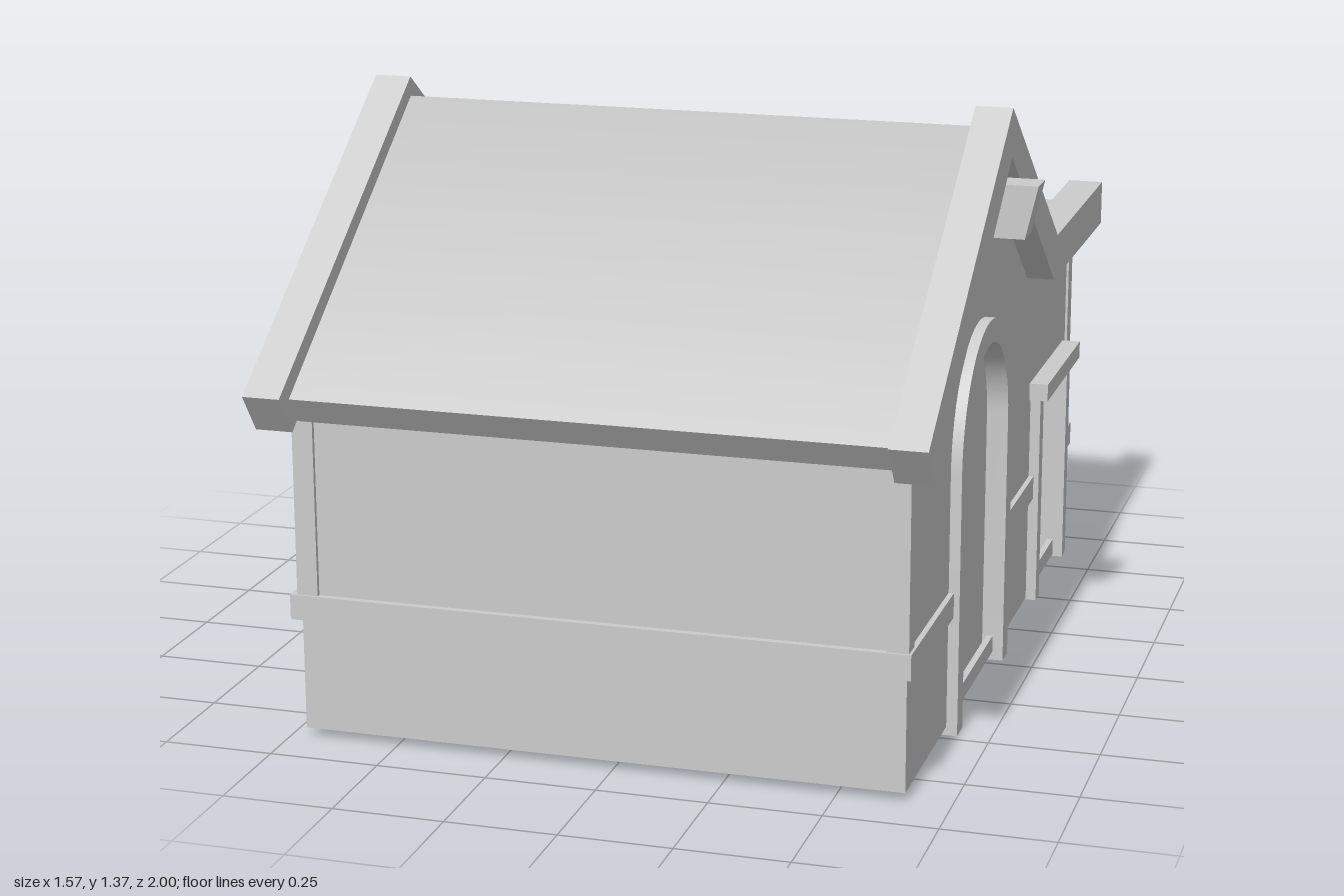
import * as THREE from 'three';
import { toCreasedNormals } from 'three/addons/utils/BufferGeometryUtils.js';

const material = new THREE.MeshStandardMaterial({ color: 0xcccccc, side: THREE.DoubleSide });

export function createModel() {
  const house = new THREE.Group();

  const add = (name, geometry) => {
    const mesh = new THREE.Mesh(geometry, material);
    mesh.name = name;
    house.add(mesh);
    return mesh;
  };

  // box given by its limits on each axis
  const box = (name, x0, x1, y0, y1, z0, z1) =>
    add(name, new THREE.BoxGeometry(x1 - x0, y1 - y0, z1 - z0)
      .translate((x0 + x1) / 2, (y0 + y1) / 2, (z0 + z1) / 2));

  // shape drawn in (z, y) and extruded from x0 to x1
  const sideExtrude = (shape, x0, x1) =>
    new THREE.ExtrudeGeometry(shape, { depth: x1 - x0, bevelEnabled: false, curveSegments: 14 })
      .rotateY(-Math.PI / 2).translate(x1, 0, 0);
  const polygon = (points) => new THREE.Shape(points.map(([z, y]) => new THREE.Vector2(z, y)));

  // arched doorway outline, centred on z = 0.2
  const arch = (path, radius, bottom) => {
    path.moveTo(0.2 - radius, bottom);
    path.lineTo(0.2 + radius, bottom);
    path.lineTo(0.2 + radius, 0.605);
    path.absarc(0.2, 0.605, radius, 0, Math.PI, false);
    path.lineTo(0.2 - radius, bottom);
    return path;
  };

  // gable walls; the right one has a doorway and a side opening
  const gable = [[-0.915, 0.02], [0.88, 0.02], [0.88, 0.775], [0.2, 1.275], [-0.36, 0.875], [-0.915, 0.875]];
  add('leftWall', sideExtrude(polygon(gable), -0.715, -0.7));
  const rightWall = polygon(gable);
  rightWall.holes.push(arch(new THREE.Path(), 0.228, 0.06));
  rightWall.holes.push(new THREE.Path([[-0.8, 0.06], [-0.465, 0.06], [-0.465, 0.54], [-0.8, 0.54]]
    .map(([z, y]) => new THREE.Vector2(z, y))));
  add('rightWall', sideExtrude(rightWall, 0.635, 0.65));

  // front and back walls
  box('frontWall', -0.7, 0.635, 0.02, 0.78, 0.865, 0.88);
  box('backWall', -0.7, 0.635, 0.02, 0.88, -0.915, -0.9);

  // corner posts
  for (const [x0, x1] of [[-0.722, -0.674], [0.607, 0.656]]) {
    box('frontPost', x0, x1, 0.3, 0.77, 0.84, 0.89);
    box('backPost', x0, x1, 0.3, 0.88, -0.93, -0.882);
  }

  // rail round the walls, broken by the door and the side opening
  const railY = [0.278, 0.335];
  box('frontRail', -0.737, 0.662, ...railY, 0.875, 0.896);
  box('backRail', -0.737, 0.662, ...railY, -0.937, -0.91);
  box('leftRail', -0.737, -0.71, ...railY, -0.937, 0.896);
  for (const [z0, z1] of [[0.47, 0.896], [-0.44, -0.07], [-0.937, -0.82]])
    box('rightRail', 0.645, 0.662, ...railY, z0, z1);

  // arched door frame with a recessed door
  const frame = new THREE.Shape();
  frame.moveTo(0.425, 0);
  frame.lineTo(0.48, 0);
  frame.lineTo(0.48, 0.605);
  frame.absarc(0.2, 0.605, 0.28, 0, Math.PI, false);
  frame.lineTo(-0.08, 0);
  frame.lineTo(-0.025, 0);
  frame.lineTo(-0.025, 0.605);
  frame.absarc(0.2, 0.605, 0.225, Math.PI, 0, true);
  frame.lineTo(0.425, 0);
  add('doorFrame', toCreasedNormals(sideExtrude(frame, 0.61, 0.675), 0.5));
  add('door', sideExtrude(arch(new THREE.Shape(), 0.24, 0.03), 0.612, 0.625));

  // frame of the side opening
  box('openingPost', 0.615, 0.675, 0.015, 0.54, -0.475, -0.433);
  box('openingPost', 0.615, 0.675, 0.015, 0.54, -0.83, -0.79);
  box('openingLintel', 0.61, 0.695, 0.533, 0.575, -0.852, -0.417);

  // roof slab, shaded smoothly over the ridge
  const roof = sideExtrude(polygon([
    [0.948, 0.797], [0.2, 1.325], [-0.385, 0.915], [-0.97, 0.915],
    [-0.97, 0.858], [-0.36, 0.858], [0.2, 1.25], [0.905, 0.737]]), -0.7, 0.63);
  const pos = roof.attributes.position;
  const normal = roof.attributes.normal;
  for (let i = 0; i < pos.count; i++) {
    const onRidge = Math.abs(pos.getZ(i) - 0.2) < 0.001;
    if (onRidge && Math.abs(normal.getX(i)) < 0.5) normal.setXYZ(i, 0, Math.sign(normal.getY(i)), 0);
  }
  add('roof', roof);

  // barge boards at both ends of the roof
  const board = [[1, 0.81], [0.2, 1.37], [-0.385, 0.957], [-1, 0.962],
    [-1, 0.855], [-0.35, 0.855], [0.2, 1.26], [0.935, 0.72]];
  for (const [x0, x1] of [[-0.785, -0.7], [0.63, 0.715]])
    add('bargeBoard', sideExtrude(polygon(board), x0, x1));

  // tapered bracket below the gable peak
  add('gableBracket', new THREE.ExtrudeGeometry(
    polygon([[0.64, 1.085], [0.755, 1.085], [0.783, 1.206], [0.64, 1.206]]),
    { depth: 0.078, bevelEnabled: false }).translate(0, 0, 0.163));

  return house;
}
